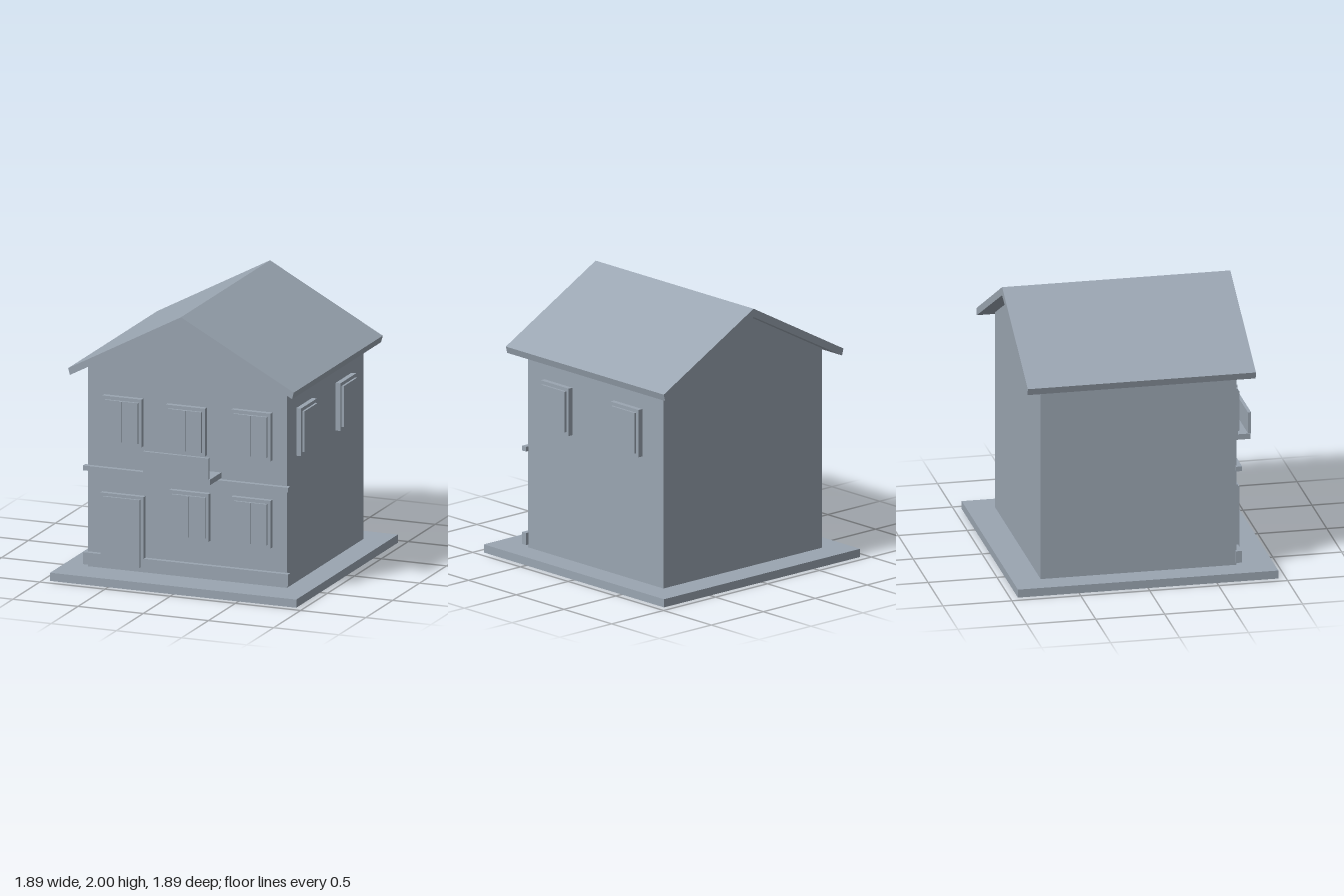
import * as THREE from 'three';

export function createModel() {
  const house = new THREE.Group();
  house.name = 'house';
  const greyBlue = new THREE.MeshStandardMaterial({ color: 0x9aa5b1 });
  greyBlue.name = 'greyBlue';

  const add = (name, geometry, parent = house) => {
    const mesh = new THREE.Mesh(geometry, greyBlue);
    mesh.name = name;
    parent.add(mesh);
    return mesh;
  };
  // Box given by its limits on each axis
  const box = (name, [x0, x1], [y0, y1], [z0, z1], parent) =>
    add(name, new THREE.BoxGeometry(x1 - x0, y1 - y0, z1 - z0), parent)
      .position.set((x0 + x1) / 2, (y0 + y1) / 2, (z0 + z1) / 2);
  // Front outline pushed from z0 to z1
  const slab = (name, points, z0, z1) => {
    const shape = new THREE.Shape(points.map(([x, y]) => new THREE.Vector2(x, y)));
    add(name, new THREE.ExtrudeGeometry(shape, { depth: z1 - z0, bevelEnabled: false }))
      .position.z = z0;
  };

  // Ground plate, gabled walls and roof
  box('groundPlate', [-0.944, 0.944], [0, 0.06], [-0.944, 0.944]);
  slab('walls', [[-0.763, 0.06], [0.763, 0.06], [0.763, 1.533], [0, 1.939], [-0.763, 1.533]], -0.74, 0.68);
  slab('roof', [[0, 2], [-0.865, 1.536], [-0.852, 1.487], [0, 1.939], [0.852, 1.487], [0.865, 1.536]], -0.855, 0.8);

  // Front base band joined with the door frame, and the floor band
  const frameFront = 0.716;
  slab('baseBandAndDoorFrame', [
    [-0.787, 0.082], [0.787, 0.082], [0.787, 0.17], [-0.32, 0.17],
    [-0.32, 0.623], [-0.653, 0.623], [-0.653, 0.17], [-0.787, 0.17],
  ], 0.673, frameFront);
  box('floorBand', [-0.787, 0.787], [0.772, 0.807], [0.673, frameFront]);
  box('door', [-0.628, -0.346], [0.103, 0.601], [0.7, 0.732]);

  // Window on a wall plane at local z = 0, centred on its frame
  const makeWindow = (name, width, mullion) => {
    const group = new THREE.Group();
    group.name = name;
    const w = width / 2;
    box('windowFrame', [-w, w], [-0.175, 0.175], [-0.01, 0.037], group);
    box('windowPane', [-w + 0.024, w - 0.024], [-0.15, 0.15], [0.02, 0.053], group);
    if (mullion) box('windowMullion', [-0.008, 0.008], [-0.15, 0.15], [0.04, 0.066], group);
    house.add(group);
    return group;
  };

  // Front windows
  [[-0.486, 1.163], [0, 1.147], [0.502, 1.163], [0.028, 0.522], [0.502, 0.522]].forEach(([x, y]) =>
    makeWindow('frontWindow', 0.302, true).position.set(x, y, 0.68));

  // Side windows on the +x wall
  [0.359, -0.372].forEach((z) => {
    const side = makeWindow('sideWindow', 0.294, false);
    side.rotation.y = Math.PI / 2;
    side.position.set(0.763, 1.163, z);
  });

  // Balcony floor and front parapet
  box('balconyFloor', [-0.26, 0.26], [0.815, 0.856], [0.67, 0.892]);
  box('balconyParapet', [-0.25, 0.25], [0.85, 1.012], [0.874, 0.897]);

  return house;
}
